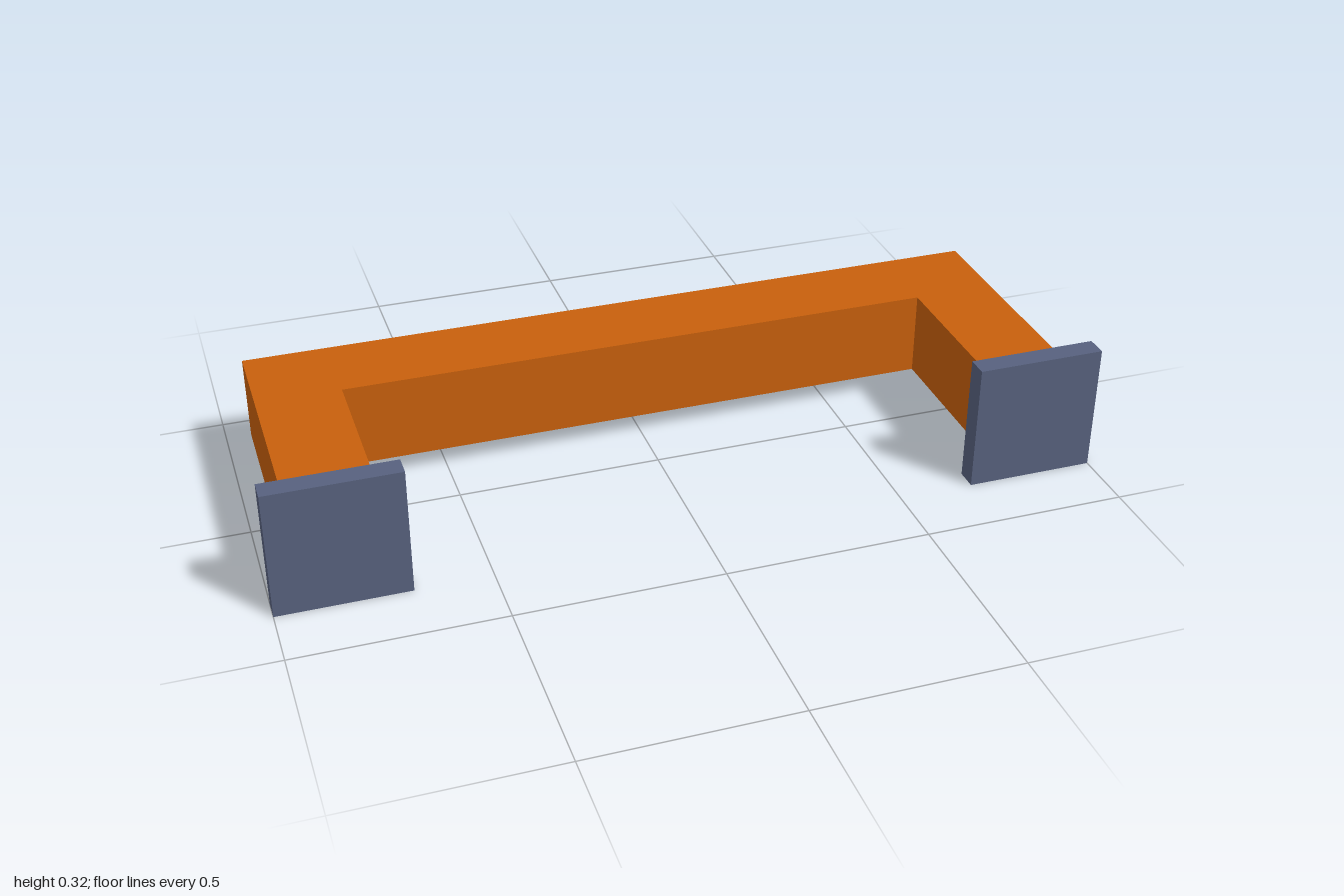
import * as THREE from 'three';

export function createModel() {
  const model = new THREE.Group();
  model.name = 'pullHandle';

  const material = (name, color) => {
    const m = new THREE.MeshStandardMaterial({ color });
    m.name = name;
    return m;
  };
  const orange = material('orange', 0xc8600c);
  const slate = material('slate', 0x57617e);
  const navy = material('navy', 0x0b0b2c);

  const add = (name, geometry, mat, x = 0, y = 0, z = 0) => {
    const mesh = new THREE.Mesh(geometry, mat);
    mesh.name = name;
    mesh.position.set(x, y, z);
    model.add(mesh);
    return mesh;
  };

  const midY = 0.1585, barHeight = 0.211, back = -0.342, front = 0.29;
  const outer = 0.945, inner = 0.74, innerBack = -0.132;

  // U-shaped bar, drawn in plan (shape y becomes z) and extruded downwards
  const plan = new THREE.Shape([
    [-outer, back], [outer, back], [outer, front], [inner, front],
    [inner, innerBack], [-inner, innerBack], [-inner, front], [-outer, front],
  ].map(([x, z]) => new THREE.Vector2(x, z)));
  const bar = new THREE.ExtrudeGeometry(plan, { depth: barHeight, bevelEnabled: false });
  bar.rotateX(Math.PI / 2);
  add('bar', bar, orange, 0, midY + barHeight / 2, 0);

  // Rounded square inlay for the fixing points on the back
  const h = 0.048, r = 0.018;
  const square = new THREE.Shape();
  square.moveTo(-h + r, -h);
  square.lineTo(h - r, -h);
  square.quadraticCurveTo(h, -h, h, -h + r);
  square.lineTo(h, h - r);
  square.quadraticCurveTo(h, h, h - r, h);
  square.lineTo(-h + r, h);
  square.quadraticCurveTo(-h, h, -h, h - r);
  square.lineTo(-h, -h + r);
  square.quadraticCurveTo(-h, -h, -h + r, -h);
  const inlay = new THREE.ExtrudeGeometry(square, { depth: 0.004, bevelEnabled: false, curveSegments: 4 });

  // Mounting plates and inlays, mirrored left and right
  for (const [label, s] of [['left', 1], ['right', -1]]) {
    add(label + 'MountingPlate', new THREE.BoxGeometry(0.315, 0.317, 0.052), slate,
      s * 0.8425, midY, front + 0.026);
    add(label + 'FixingInlay', inlay, navy, s * 0.8425, midY, back - 0.002);
  }
  return model;
}
